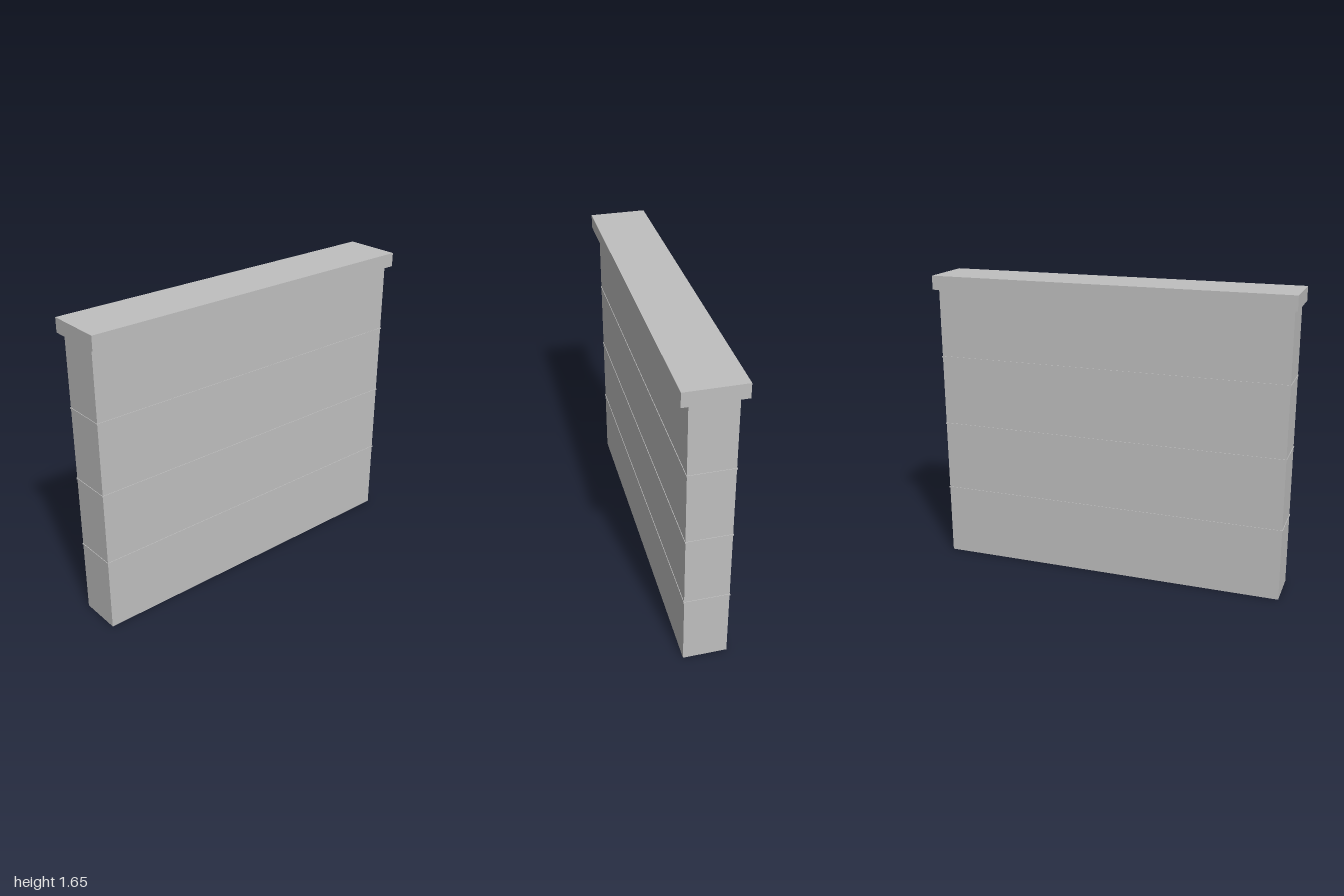
import * as THREE from 'three';

export function createModel() {
  const group = new THREE.Group();
  group.name = 'wall';
  const concrete = new THREE.MeshStandardMaterial({ color: 0xbfbfbf });
  concrete.name = 'light grey concrete';

  // Box standing on height y
  function block(name, width, height, depth, y) {
    const mesh = new THREE.Mesh(new THREE.BoxGeometry(width, height, depth), concrete);
    mesh.name = name;
    mesh.position.y = y + height / 2;
    group.add(mesh);
  }

  const bodyHeight = 1.575;
  const courses = 4;

  // Wall body and overhanging coping
  block('wallBody', 1.964, bodyHeight, 0.236, 0);
  block('coping', 2, 0.077, 0.314, bodyHeight);

  // Thin raised joints between the courses
  for (let i = 1; i < courses; i++) {
    block('joint' + i, 1.97, 0.008, 0.242, i * 0.395 + 0.001);
  }
  return group;
}
